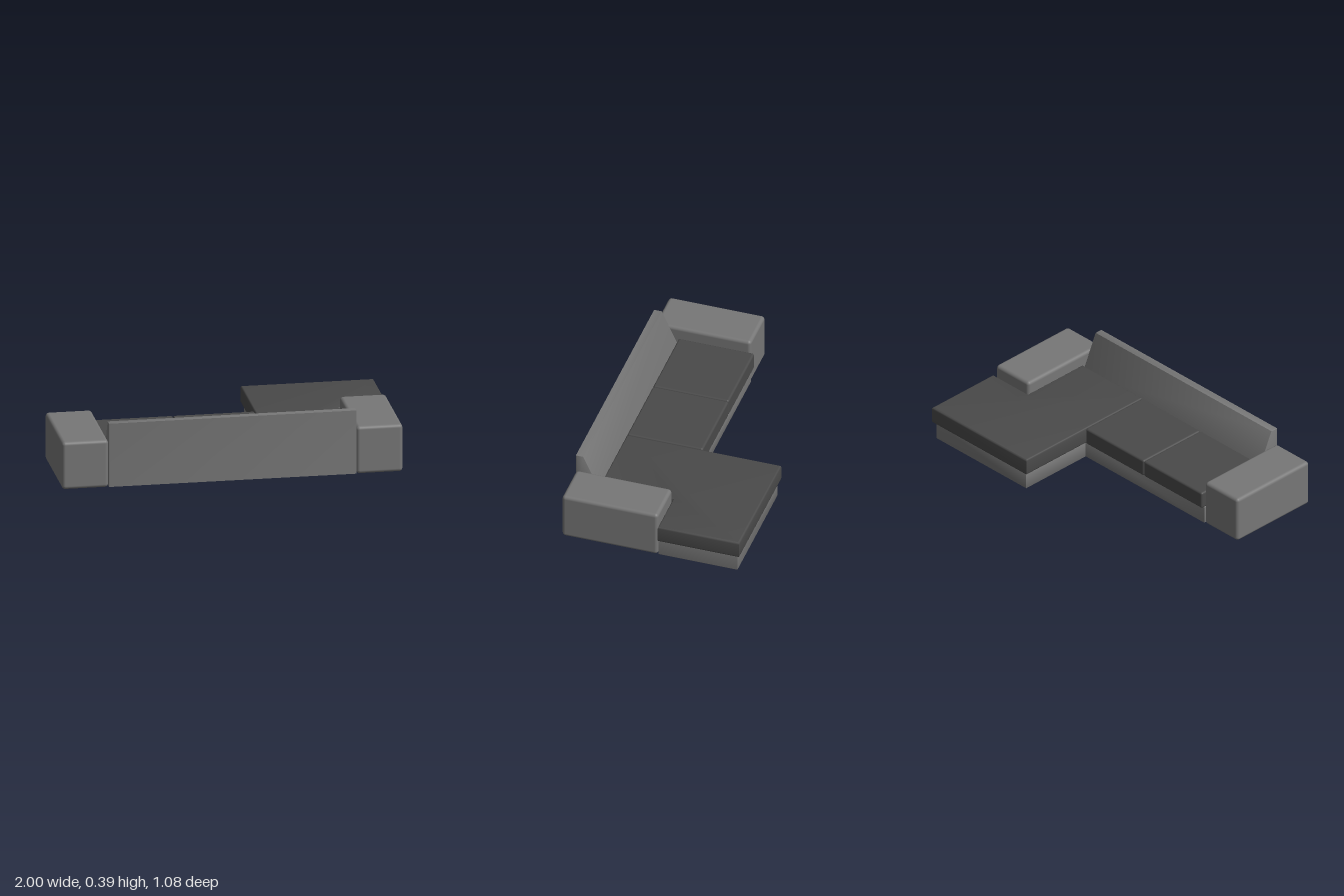
import * as THREE from 'three';
import { RoundedBoxGeometry } from 'three/addons/geometries/RoundedBoxGeometry.js';
import { toCreasedNormals } from 'three/addons/utils/BufferGeometryUtils.js';

const frameMaterial = new THREE.MeshStandardMaterial({ color: 0x777777 });
const cushionMaterial = new THREE.MeshStandardMaterial({ color: 0x4a4a4a });

// Extrude an outline with softly rounded edges that stay inside it
function softExtrude(points, depth, bevel) {
  const shape = new THREE.Shape(points.map(([x, y]) => new THREE.Vector2(x, y)));
  const geometry = new THREE.ExtrudeGeometry(shape, {
    depth: depth - 2 * bevel,
    bevelEnabled: true,
    bevelThickness: bevel,
    bevelSize: bevel,
    bevelOffset: -bevel,
    bevelSegments: 4,
  });
  geometry.translate(0, 0, bevel);
  return toCreasedNormals(geometry, 0.7);
}

// Slab from a floor plan of [x, z] corners, between two heights
function slab(plan, y0, y1, bevel) {
  const geometry = softExtrude(plan.map(([x, z]) => [x, -z]), y1 - y0, bevel);
  return geometry.rotateX(-Math.PI / 2).translate(0, y0, 0);
}

// Rounded box given by its limits on each axis
function block([x0, x1], [y0, y1], [z0, z1], radius) {
  return new RoundedBoxGeometry(x1 - x0, y1 - y0, z1 - z0, 4, radius)
    .translate((x0 + x1) / 2, (y0 + y1) / 2, (z0 + z1) / 2);
}

export function createModel() {
  const sofa = new THREE.Group();
  sofa.name = 'cornerSofa';
  const add = (name, geometry, material) => {
    const mesh = new THREE.Mesh(geometry, material);
    mesh.name = name;
    sofa.add(mesh);
  };

  // L-shaped plinth under the seats and the chaise
  add('base', slab([
    [-0.73, 0.39], [0.715, 0.39], [0.715, -0.045], [0.98, -0.045],
    [0.98, -0.523], [0.243, -0.523], [0.243, -0.045], [-0.73, -0.045],
  ], 0.004, 0.112, 0.003), frameMaterial);

  // Armrests
  for (const [name, x] of [['rightArm', [-1, -0.731]], ['leftArm', [0.715, 0.984]]]) {
    add(name, block(x, [0, 0.285], [-0.042, 0.537], 0.02), frameMaterial);
  }

  // Backrest with a sloping inner face, profile in [z, y]
  const back = softExtrude([
    [0.54, 0.004], [0.54, 0.386], [0.495, 0.386], [0.39, 0.155], [0.39, 0.004],
  ], 1.445, 0.004);
  add('backrest', back.rotateY(-Math.PI / 2).translate(0.715, 0, 0), frameMaterial);

  // Two seat cushions
  [-0.73, -0.253].forEach((x, i) => {
    add(`seatCushion${i + 1}`, block([x, x + 0.476], [0.11, 0.215], [-0.065, 0.392], 0.012), cushionMaterial);
  });

  // Chaise cushion wrapping around the armrest
  add('chaiseCushion', slab([
    [0.225, 0.392], [0.715, 0.392], [0.715, -0.047], [1, -0.047],
    [1, -0.54], [0.225, -0.54],
  ], 0.11, 0.215, 0.012), cushionMaterial);

  return sofa;
}
